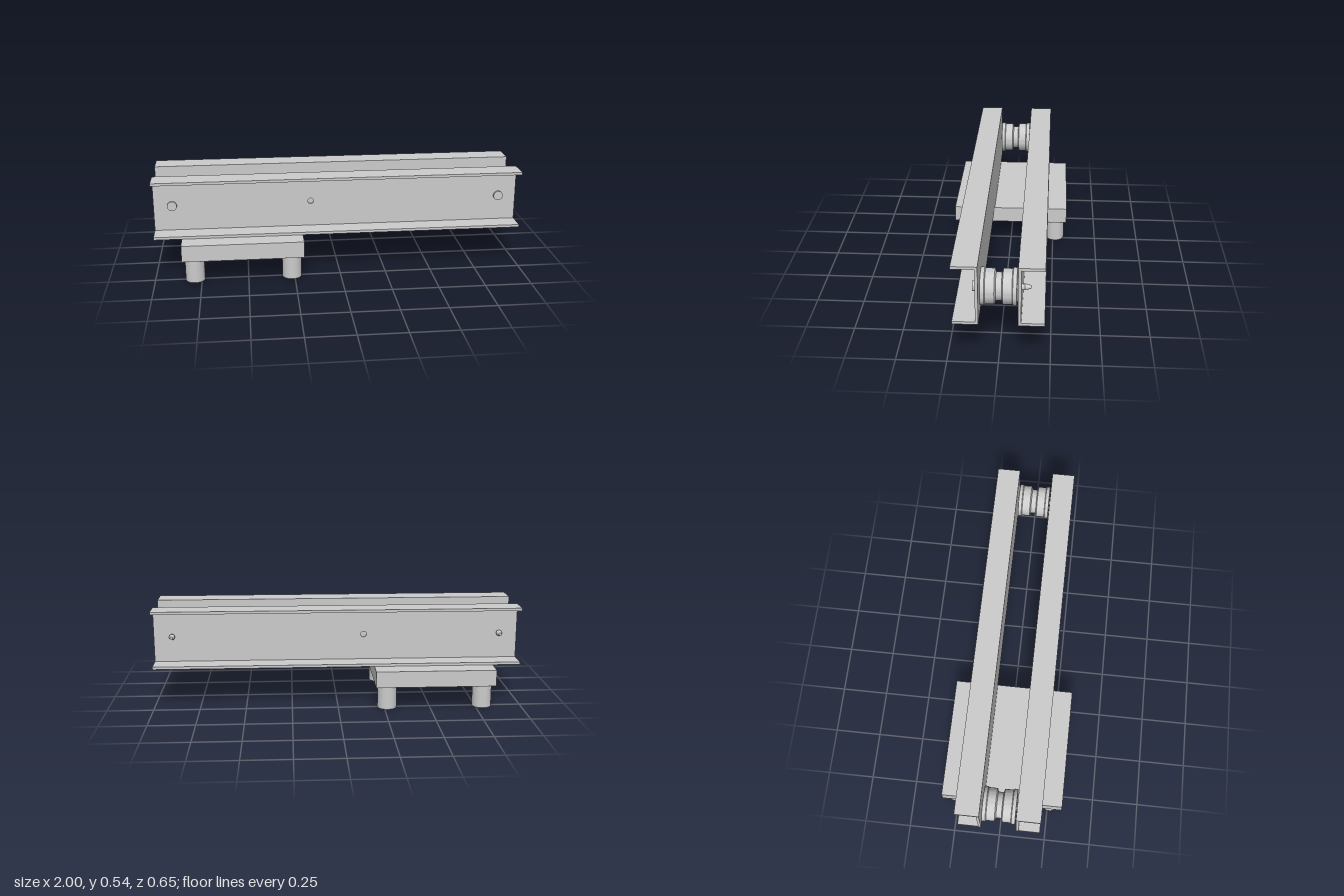
import * as THREE from 'three';
import { toCreasedNormals } from 'three/addons/utils/BufferGeometryUtils.js';

const material = new THREE.MeshStandardMaterial({ color: 0xcccccc });
const AXLE_Y = 0.374;

function add(parent, name, geometry, x = 0, y = 0, z = 0) {
  const mesh = new THREE.Mesh(geometry, material);
  mesh.name = name;
  mesh.position.set(x, y, z);
  parent.add(mesh);
  return mesh;
}

// Turned part around y; points are [radius, height], listed upward on the outside
function turned(points, segments = 48) {
  const profile = points.map(([r, h]) => new THREE.Vector2(r, h));
  return toCreasedNormals(new THREE.LatheGeometry(profile, segments), 0.4);
}

// C-shaped rail, built facing +z
function createRail(name) {
  const rail = new THREE.Group();
  rail.name = name;
  const bottom = 0.219, top = 0.535, t = 0.0145, holeX = -0.148;

  // Web with a small blind hole on the outside
  const web = new THREE.Shape();
  web.moveTo(-1, bottom);
  web.lineTo(1, bottom);
  web.lineTo(1, top);
  web.lineTo(-1, top);
  web.closePath();
  const hole = new THREE.Path();
  hole.absarc(holeX, AXLE_Y, 0.016, 0, Math.PI * 2, true);
  web.holes.push(hole);
  const webGeometry = new THREE.ExtrudeGeometry(web, { depth: t, bevelEnabled: false, curveSegments: 24 });
  add(rail, 'railWeb', webGeometry, 0, 0, 0.094);
  const plug = new THREE.CylinderGeometry(0.016, 0.016, 0.006, 24).rotateX(Math.PI / 2);
  add(rail, 'holeFloor', plug, holeX, AXLE_Y, 0.097);

  // Flanges point away from the wheels
  for (const [label, y] of [['lowerFlange', bottom + t / 2], ['upperFlange', top - t / 2]]) {
    add(rail, label, new THREE.BoxGeometry(2, t, 0.126), 0, y, 0.157);
  }
  return rail;
}

// Grooved roller with raised outer rims
function createWheelGeometry() {
  const half = [[0, 0.088], [0.09, 0.088], [0.0915, 0.0865], [0.0915, 0.068],
    [0.086, 0.064], [0.086, 0.02], [0.083, 0.018], [0.068, 0.014]];
  const lower = half.map(([r, h]) => [r, -h]);
  return turned([...lower, ...half.reverse()], 64).rotateX(Math.PI / 2);
}

// Axle pin: tapered tip at the back, flat head at the front
function createPinGeometry() {
  return turned([[0, -0.153], [0.008, -0.153], [0.016, -0.122], [0.014, -0.119],
    [0.014, 0.115], [0.026, 0.115], [0.026, 0.127], [0, 0.127]], 32).rotateX(Math.PI / 2);
}

export function createModel() {
  const model = new THREE.Group();
  model.name = 'rollerTrack';

  // Pair of rails, mirrored about the centre plane (reversed winding is handled by the renderer)
  model.add(createRail('frontRail'));
  const backRail = createRail('backRail');
  backRail.scale.z = -1;
  model.add(backRail);

  // Rollers at both ends
  const wheelGeometry = createWheelGeometry();
  const pinGeometry = createPinGeometry();
  for (const [side, x] of [['right', -0.9], ['left', 0.9]]) {
    add(model, side + 'Wheel', wheelGeometry, x, AXLE_Y, 0);
    add(model, side + 'AxlePin', pinGeometry, x, AXLE_Y, 0);
  }

  // Base plate
  add(model, 'basePlate', new THREE.BoxGeometry(0.65, 0.089, 0.654), -0.525, 0.1745, 0);

  // Four feet, hollow from below
  const footGeometry = turned([[0, 0.07], [0.036, 0.07], [0.036, 0.002], [0.038, 0],
    [0.049, 0], [0.052, 0.004], [0.052, 0.13]]);
  for (const x of [-0.785, -0.265]) {
    for (const z of [-0.262, 0.262]) add(model, 'foot', footGeometry, x, 0, z);
  }

  return model;
}
